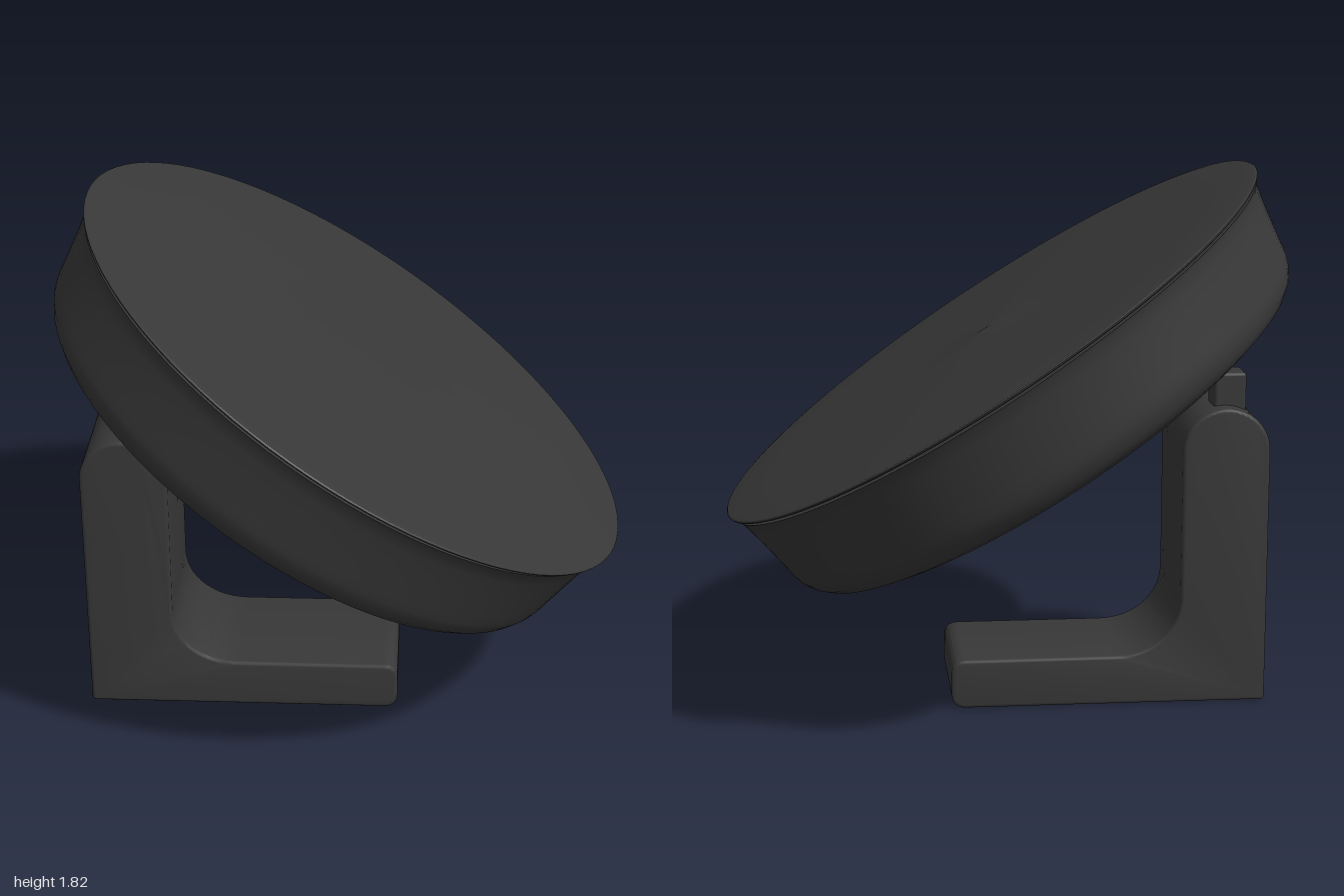
import * as THREE from 'three';
import { toCreasedNormals } from 'three/addons/utils/BufferGeometryUtils.js';
import { RoundedBoxGeometry } from 'three/addons/geometries/RoundedBoxGeometry.js';

export function createModel() {
  const model = new THREE.Group();
  const charcoal = new THREE.MeshStandardMaterial({ color: 0x383838 });

  function add(parent, name, geometry) {
    const mesh = new THREE.Mesh(geometry, charcoal);
    mesh.name = name;
    parent.add(mesh);
    return mesh;
  }
  // Turned part, slightly longer along the slope of the head
  const lathe = (points, stretch) => toCreasedNormals(
    new THREE.LatheGeometry(points.map(([r, y]) => new THREE.Vector2(r, y)), 96), 0.6)
    .scale(stretch, 1, 1);

  // L-shaped bracket: rounded post, inner fillet and rounded foot
  const s = new THREE.Shape();
  s.moveTo(-0.87, 0);
  s.lineTo(0.145, 0);
  s.quadraticCurveTo(0.195, 0, 0.195, 0.05);
  s.lineTo(0.195, 0.12);
  s.quadraticCurveTo(0.195, 0.17, 0.145, 0.17);
  s.lineTo(-0.36, 0.17);
  s.bezierCurveTo(-0.485, 0.17, -0.583, 0.25, -0.583, 0.37);
  s.lineTo(-0.583, 0.873);
  s.absarc(-0.7305, 0.873, 0.1475, 0, Math.PI, false);
  s.lineTo(-0.878, 0.01);
  const bevel = 0.012, width = 0.452;
  const bracket = new THREE.ExtrudeGeometry(s, {
    depth: width - 2 * bevel, bevelThickness: bevel, bevelSize: bevel,
    bevelOffset: -bevel, bevelSegments: 3, curveSegments: 20,
  });
  bracket.translate(0, 0, -width / 2 + bevel);
  add(model, 'bracket', toCreasedNormals(bracket, 0.6));

  // Small peg on top of the post, set towards the back
  add(model, 'peg', new RoundedBoxGeometry(0.11, 0.15, 0.12, 2, 0.012))
    .position.set(-0.75, 1.055, -0.1);

  // Tilted head
  const head = new THREE.Group();
  head.name = 'head';
  head.position.set(0.055, 1.239, 0);
  head.rotation.z = -0.576;
  model.add(head);

  // Housing: low central dome, ring groove, rounded lower edge, flared upper edge
  add(head, 'housing', lathe([
    [0, -0.414], [0.2, -0.412], [0.4, -0.405], [0.5, -0.395], [0.56, -0.375],
    [0.61, -0.345], [0.65, -0.315], [0.68, -0.302], [0.7, -0.315], [0.72, -0.36],
    [0.75, -0.388], [0.79, -0.398], [0.845, -0.39], [0.89, -0.371], [0.915, -0.345],
    [0.931, -0.312], [0.937, -0.285], [0.941, -0.25], [0.949, -0.19], [0.957, -0.13],
    [0.966, -0.075], [0.974, -0.035], [0.984, -0.018], [0.97, -0.018], [0, -0.018],
  ], 1.062));

  // Thin domed lid, floating just above the housing
  add(head, 'lid', lathe([
    [0, -0.009], [0.99, -0.009], [0.998, -0.005], [1, 0], [0.996, 0.004],
    [0.98, 0.007], [0.8, 0.012], [0.4, 0.018], [0.04, 0.022], [0, 0.029],
  ], 1.057));

  return model;
}
